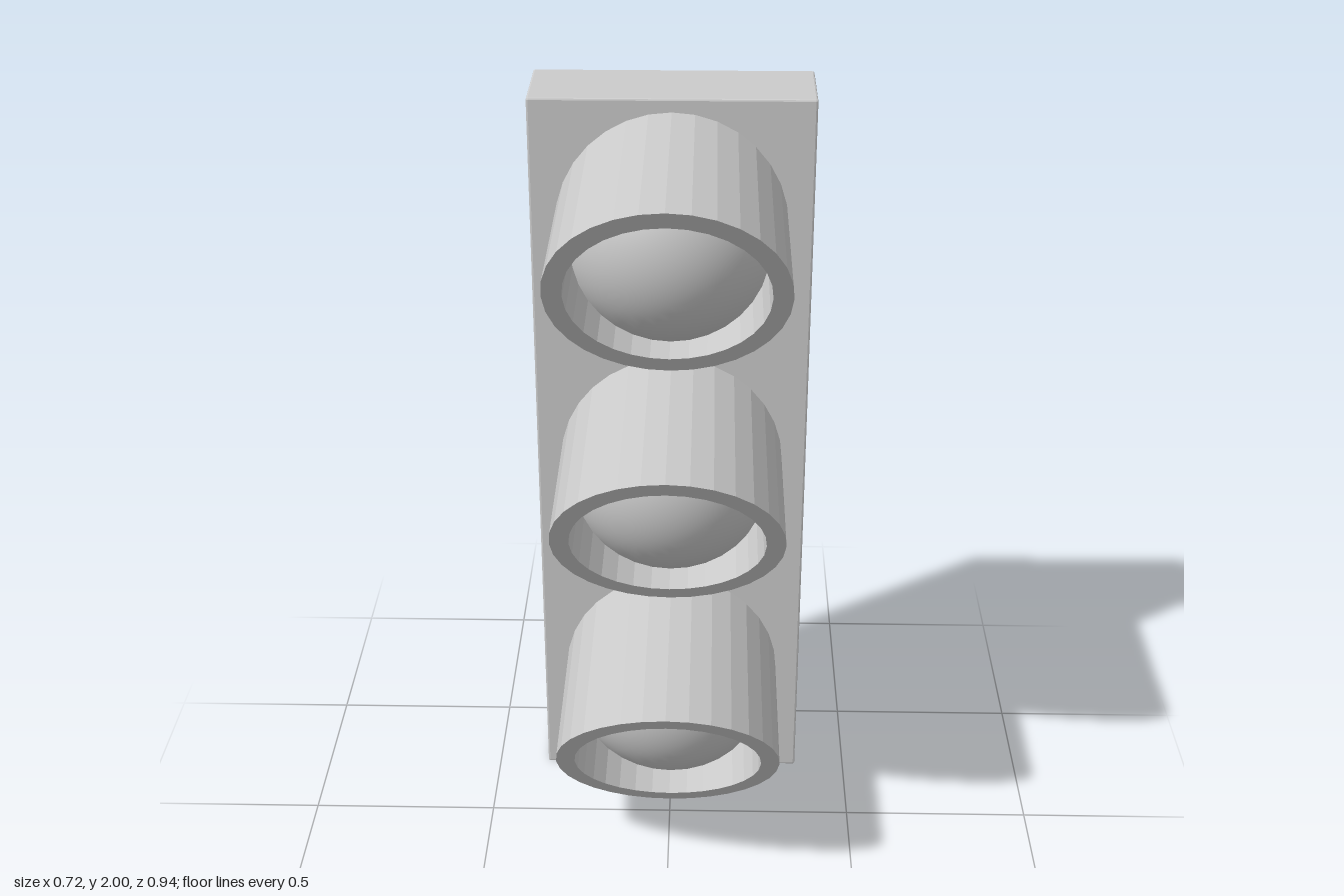
import * as THREE from 'three';
import { RoundedBoxGeometry } from 'three/addons/geometries/RoundedBoxGeometry.js';

const flat = new THREE.MeshStandardMaterial({ color: 0xcccccc, flatShading: true });
const smooth = new THREE.MeshStandardMaterial({ color: 0xcccccc });

const OUTER = 0.296, INNER = 0.247;
const PLATE_FRONT = -0.227, PLATE_BACK = -0.472;

// Thick tube along z whose front end is cut off at a slant
function visorGeometry() {
  const back = PLATE_FRONT - 0.01, front = 0.238, slope = 0.79;
  const profile = [[OUTER, back], [OUTER, front], [INNER, front], [INNER, back]]
    .map(([r, z]) => new THREE.Vector2(r, z));
  const geo = new THREE.LatheGeometry(profile, 32);
  geo.rotateX(Math.PI / 2);
  const pos = geo.attributes.position;
  for (let i = 0; i < pos.count; i++) {
    if (pos.getZ(i) > 0) pos.setZ(i, front + slope * pos.getY(i));
  }
  geo.computeVertexNormals();
  return geo;
}

// Domed cap of a sphere centred on the plate, its edge sunk in the tube wall
function lensGeometry() {
  const radius = 0.296;
  const geo = new THREE.SphereGeometry(radius, 32, 12, 0, Math.PI * 2, 0, Math.asin(0.26 / radius));
  geo.rotateX(Math.PI / 2);
  geo.translate(0, 0, PLATE_FRONT);
  return geo;
}

export function createModel() {
  const model = new THREE.Group();
  model.name = 'trafficLight';

  // Housing slab with slightly broken edges
  const depth = PLATE_FRONT - PLATE_BACK;
  const housing = new THREE.Mesh(new RoundedBoxGeometry(0.72, 2, depth, 1, 0.005), flat);
  housing.name = 'housing';
  housing.position.set(0, 1, (PLATE_FRONT + PLATE_BACK) / 2);
  model.add(housing);

  // Three stacked lamps, each a visor and a lens
  const visorGeo = visorGeometry(), lensGeo = lensGeometry();
  [['bottomLamp', 0.34], ['middleLamp', 1.005], ['topLamp', 1.67]].forEach(([name, y]) => {
    const lamp = new THREE.Group();
    lamp.name = name;
    lamp.position.y = y;
    const visor = new THREE.Mesh(visorGeo, flat);
    visor.name = 'visor';
    const lens = new THREE.Mesh(lensGeo, smooth);
    lens.name = 'lens';
    lamp.add(visor, lens);
    model.add(lamp);
  });
  return model;
}
